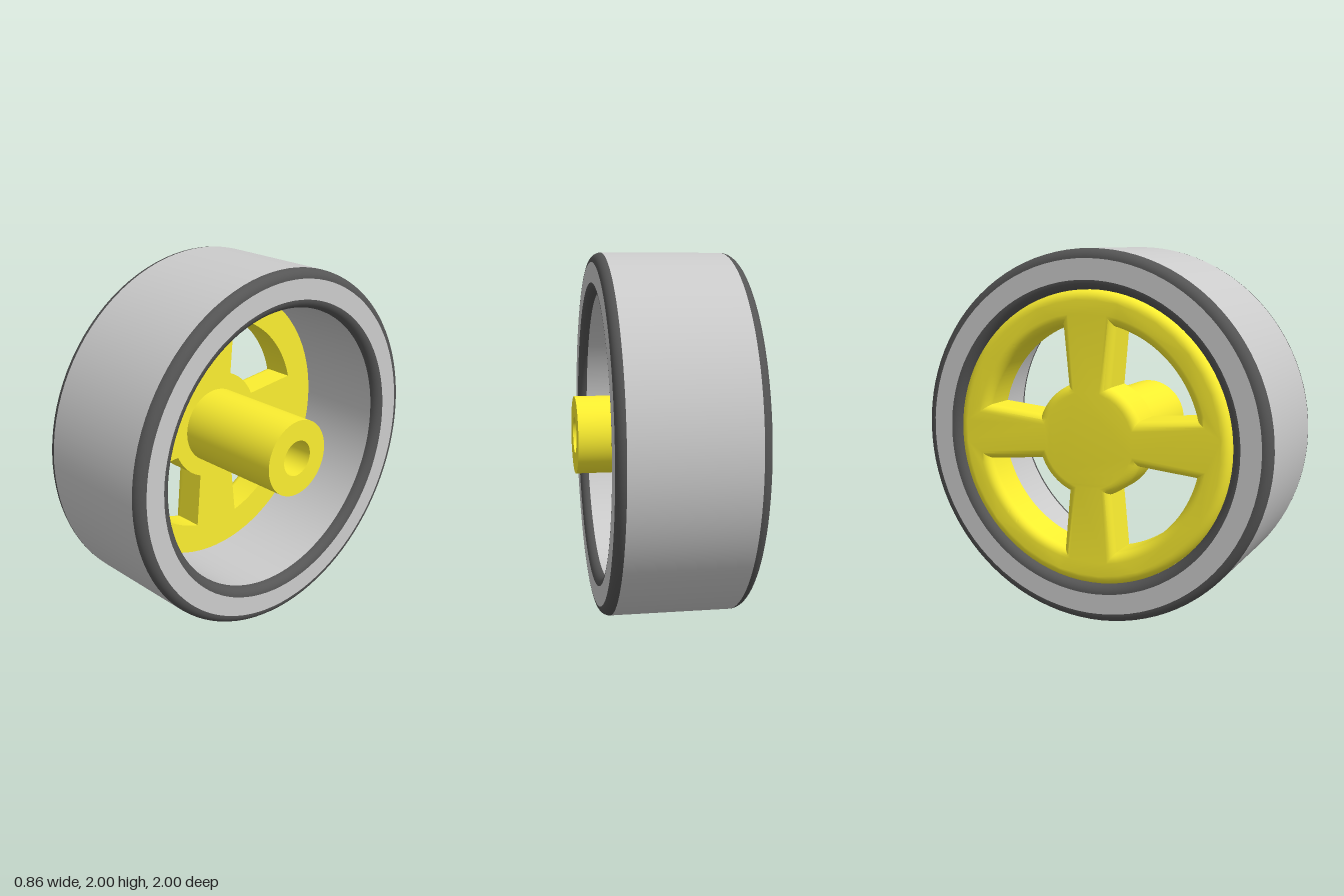
import * as THREE from 'three';
import { toCreasedNormals } from 'three/addons/utils/BufferGeometryUtils.js';

const grey = new THREE.MeshStandardMaterial({ color: 0xcccccc });
const dark = new THREE.MeshStandardMaterial({ color: 0x555555 });
const yellow = new THREE.MeshStandardMaterial({ color: 0xfbee30 });

const LEFT = 0.33, RIGHT = -0.43;   // tyre faces along the x axle
const OUTER = 1, INNER = 0.79, ROUND = 0.05;
const HUB_END = 0.43, DISC_IN = -0.22;

// Surface of revolution about x; points are [radius, x], counter-clockwise
function turned(name, points, material) {
  const geo = new THREE.LatheGeometry(points.map(p => new THREE.Vector2(p[0], p[1])), 96);
  geo.rotateZ(-Math.PI / 2);
  const mesh = new THREE.Mesh(geo, material);
  mesh.name = name;
  return mesh;
}

// Quarter-round profile starting at a given angle
function quarter(r, x, start) {
  return Array.from({ length: 9 }, (_, i) => {
    const a = start + (i / 8) * Math.PI / 2;
    return [r + ROUND * Math.cos(a), x + ROUND * Math.sin(a)];
  });
}

// Disc outline with four windows between tapered spokes
function discShape() {
  const shape = new THREE.Shape();
  shape.absarc(0, 0, INNER, 0, Math.PI * 2, false);
  const outerGap = 0.245, innerGap = 0.4;
  for (let i = 0; i < 4; i++) {
    const a = i * Math.PI / 2, b = a + Math.PI / 2;
    const hole = new THREE.Path();
    hole.absarc(0, 0, 0.62, a + outerGap, b - outerGap, false);
    hole.absarc(0, 0, 0.31, b - innerGap, a + innerGap, true);
    hole.closePath();
    shape.holes.push(hole);
  }
  return shape;
}

// Extruded disc layer; extrusion runs towards -x from the given depth
function discLayer(name, options, from) {
  let geo = new THREE.ExtrudeGeometry(discShape(), { curveSegments: 40, ...options });
  geo.translate(0, 0, from);
  geo.rotateY(-Math.PI / 2);
  geo = toCreasedNormals(geo, 0.5);
  const mesh = new THREE.Mesh(geo, yellow);
  mesh.name = name;
  return mesh;
}

export function createModel() {
  const wheel = new THREE.Group();
  wheel.name = 'wheel';

  // Tyre: tread, side walls and inner wall, joined by dark rounded edges
  const tyre = new THREE.Group();
  tyre.name = 'tyre';
  const ro = OUTER - ROUND, ri = INNER + ROUND;
  const xl = LEFT - ROUND, xr = RIGHT + ROUND;
  tyre.add(
    turned('tread', [[OUTER, xr], [OUTER, xl]], grey),
    turned('leftSideWall', [[ro, LEFT], [ri, LEFT]], grey),
    turned('innerWall', [[INNER, xl], [INNER, xr]], grey),
    turned('rightSideWall', [[ri, RIGHT], [ro, RIGHT]], grey),
    turned('leftOuterEdge', quarter(ro, xl, 0), dark),
    turned('leftInnerEdge', quarter(ri, xl, Math.PI / 2), dark),
    turned('rightInnerEdge', quarter(ri, xr, Math.PI), dark),
    turned('rightOuterEdge', quarter(ro, xr, Math.PI * 1.5), dark)
  );

  // Spoked disc: straight body plus a rounded outer face
  const disc = new THREE.Group();
  disc.name = 'spokedDisc';
  const seam = 0.37;
  disc.add(
    discLayer('discBody', { depth: seam + DISC_IN, bevelEnabled: false }, -DISC_IN),
    discLayer('discRoundedFace', {
      depth: -xr - seam, bevelEnabled: true, bevelThickness: ROUND,
      bevelSize: ROUND, bevelOffset: -ROUND, bevelSegments: 6
    }, seam)
  );

  // Axle hub with a blind bore
  const hub = new THREE.Group();
  hub.name = 'hub';
  const hubR = 0.215, boreR = 0.1;
  hub.add(
    turned('hubOuter', [[hubR, DISC_IN], [hubR, HUB_END]], yellow),
    turned('hubEnd', [[hubR, HUB_END], [boreR, HUB_END]], yellow),
    turned('hubBore', [[boreR, HUB_END], [boreR, DISC_IN]], yellow)
  );

  wheel.add(tyre, disc, hub);
  wheel.position.y = OUTER;

  const model = new THREE.Group();
  model.add(wheel);
  return model;
}
